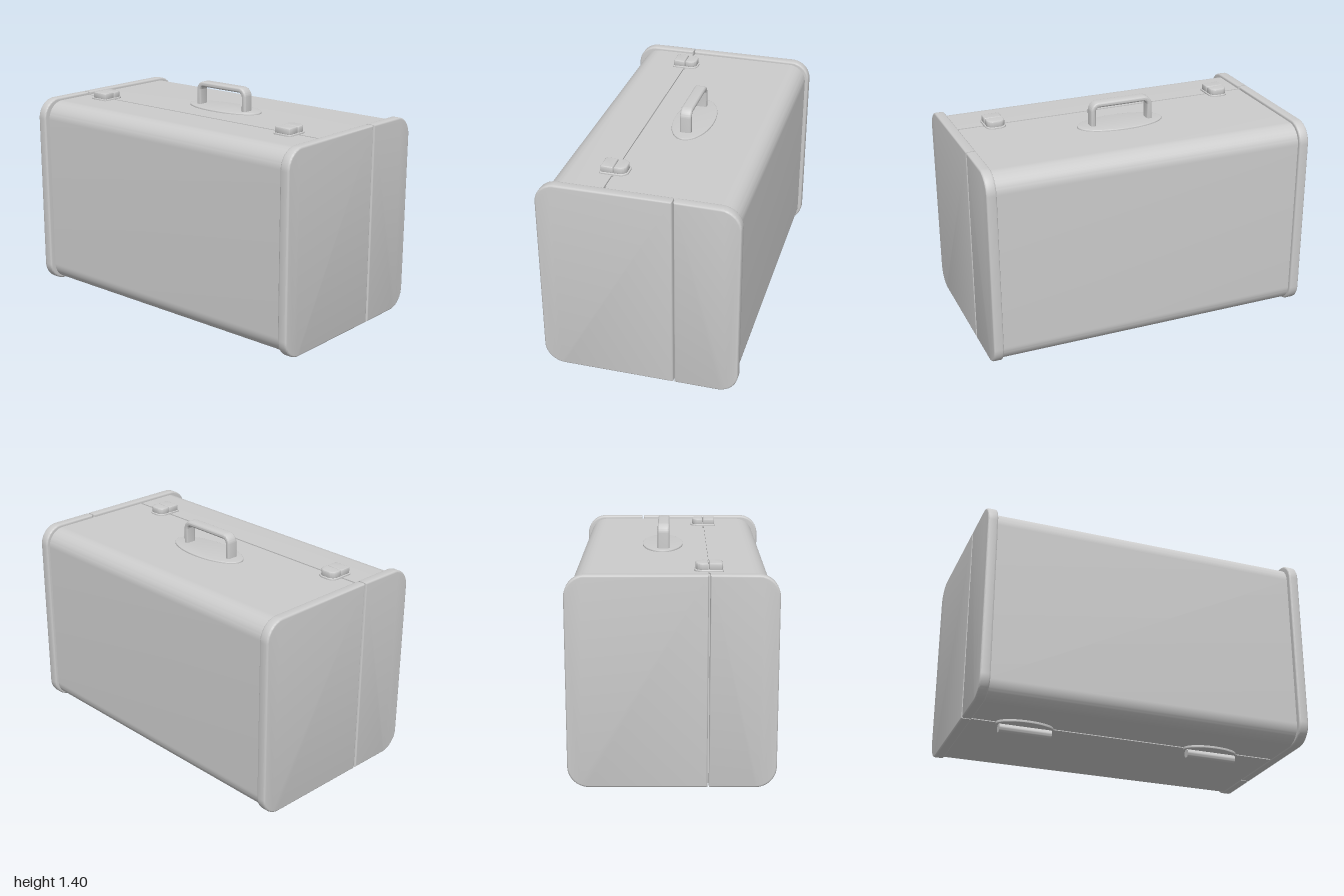
import * as THREE from 'three';
import { toCreasedNormals } from 'three/addons/utils/BufferGeometryUtils.js';

const material = new THREE.MeshStandardMaterial({ color: 0xcccccc });

// Rectangle with its own radius per corner: bottom left, bottom right, top right, top left
function roundedRect(x0, x1, y0, y1, [bl, br, tr, tl]) {
  const s = new THREE.Shape();
  const arc = (x, y, r, start) => {
    if (r > 0) s.absarc(x, y, r, start, start + Math.PI / 2, false);
    else s.lineTo(x, y);
  };
  s.moveTo(x0 + bl, y0);
  arc(x1 - br, y0 + br, br, -Math.PI / 2);
  arc(x1 - tr, y1 - tr, tr, 0);
  arc(x0 + tl, y1 - tl, tl, Math.PI / 2);
  arc(x0 + bl, y0 + bl, bl, Math.PI);
  return s;
}

// Extrusion from z = 0 to z = depth whose bevel stays inside the outline
function extrude(shape, depth, bevel = 0, bevelSegments = 3, curveSegments = 10) {
  const g = new THREE.ExtrudeGeometry(shape, {
    depth: depth - 2 * bevel, curveSegments,
    bevelEnabled: bevel > 0, bevelThickness: bevel, bevelSize: bevel, bevelOffset: -bevel, bevelSegments,
  });
  g.translate(0, 0, bevel);
  return g;
}

function addMesh(parent, name, geometry) {
  const mesh = new THREE.Mesh(toCreasedNormals(geometry, 0.6), material);
  mesh.name = name;
  parent.add(mesh);
  return mesh;
}

// Section of the case running along x, its profile in the z-y plane
function caseSection(parent, name, x, z, y, rFront, rBack, bevel = 0) {
  const shape = roundedRect(-z[1], -z[0], y[0], y[1], [rFront, rBack, rBack, rFront]);
  const g = extrude(shape, x[1] - x[0], bevel);
  g.rotateY(Math.PI / 2).translate(x[0], 0, 0);
  return addMesh(parent, name, g);
}

// Flat plate lying in the x-z plane; shape y points to the back
function plate(parent, name, shape, y0, y1, bevel = 0) {
  const g = extrude(shape, y1 - y0, bevel, 3, 20);
  g.rotateX(-Math.PI / 2).translate(0, y0, 0);
  return addMesh(parent, name, g);
}

function ellipse(x, z, rx, rz) {
  return new THREE.Shape().absellipse(x, -z, rx, rz, 0, Math.PI * 2, false);
}

export function createModel() {
  const model = new THREE.Group();
  model.name = 'case';
  const seam = 0.2, gap = 0.006, radius = 0.12;

  // Body: front and back halves with a narrow seam between, closed by an inner lining
  const bodyY = [0.065, 1.247];
  caseSection(model, 'frontBody', [-0.945, 0.945], [seam + gap, 0.545], bodyY, 0.11, 0);
  caseSection(model, 'backBody', [-0.945, 0.945], [-0.56, seam - gap], bodyY, 0, 0.11);
  caseSection(model, 'seamLining', [-0.9, 0.88], [seam - 0.02, seam + 0.02], [0.075, 1.237], 0, 0);

  // End caps: each split, at mirrored places
  const capY = [0.06, 1.265];
  for (const [name, x, split] of [['leftCap', [0.94, 1], -0.205], ['rightCap', [-1, -0.94], seam]]) {
    const cap = new THREE.Group();
    cap.name = name;
    caseSection(cap, name + 'Front', x, [split + gap * 0.7, 0.58], capY, radius, 0, 0.01);
    caseSection(cap, name + 'Back', x, [-0.582, split - gap * 0.7], capY, 0, radius, 0.01);
    model.add(cap);
  }

  // Handle: flat arch with rounded edges on an oval plate
  const handle = new THREE.Group();
  handle.name = 'handle';
  plate(handle, 'handlePlate', ellipse(0.004, -0.06, 0.27, 0.122), 1.235, 1.257, 0.004);
  const w = 0.197, t = 0.032, top = 1.4, foot = 1.24, r = 0.055;
  const arch = new THREE.Shape();
  arch.moveTo(-w, foot);
  arch.lineTo(-w + t, foot);
  arch.absarc(-w + r, top - r, r - t, Math.PI, Math.PI / 2, true);
  arch.absarc(w - r, top - r, r - t, Math.PI / 2, 0, true);
  arch.lineTo(w - t, foot);
  arch.lineTo(w, foot);
  arch.absarc(w - r, top - r, r, 0, Math.PI / 2, false);
  arch.absarc(-w + r, top - r, r, Math.PI / 2, Math.PI, false);
  addMesh(handle, 'handleGrip', extrude(arch, 0.07, 0.013, 5).translate(0, 0, -0.088));
  model.add(handle);

  // Latches: base plate with a two-part clasp meeting over the seam
  for (const x of [-0.765, 0.712]) {
    const latch = new THREE.Group();
    latch.name = 'latch';
    latch.position.x = x;
    plate(latch, 'latchPlate', roundedRect(-0.062, 0.062, -0.282, -0.12, [0.012, 0.012, 0.045, 0.045]), 1.235, 1.257, 0.003);
    plate(latch, 'latchHook', roundedRect(-0.055, 0.055, -0.198, -0.128, [0.004, 0.004, 0.04, 0.04]), 1.25, 1.293, 0.008);
    plate(latch, 'latchLever', roundedRect(-0.055, 0.055, -0.276, -0.202, [0.012, 0.012, 0.004, 0.004]), 1.25, 1.293, 0.008);
    model.add(latch);
  }

  // Hinges: oval plate with a horizontal barrel below the case
  for (const x of [-0.634, 0.524]) {
    const hinge = new THREE.Group();
    hinge.name = 'hinge';
    hinge.position.x = x;
    plate(hinge, 'hingePlate', ellipse(0, 0.208, 0.17, 0.078), 0.05, 0.075, 0.003);
    const barrel = new THREE.CylinderGeometry(0.026, 0.026, 0.31, 24);
    barrel.rotateZ(Math.PI / 2).translate(0, 0.026, 0.21);
    addMesh(hinge, 'hingeBarrel', barrel);
    model.add(hinge);
  }

  return model;
}
